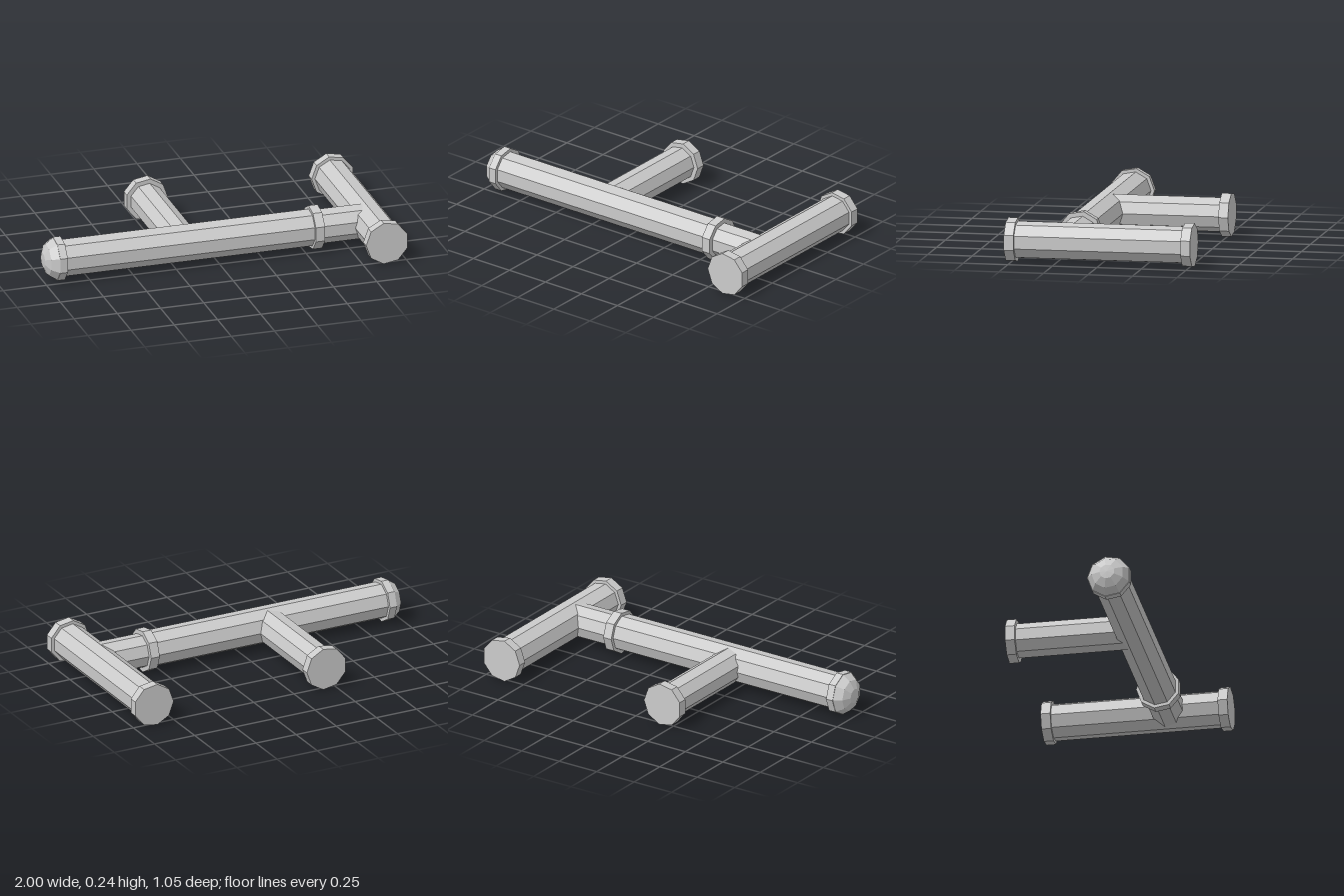
import * as THREE from 'three';

const SIDES = 9;
const Y = 0.126; // height of all pipe axes
const PIPE = 0.104, BRANCH = 0.097, COLLAR = 0.123; // radii

export function createModel() {
  const group = new THREE.Group();
  const material = new THREE.MeshStandardMaterial({ color: 0xcccccc, flatShading: true });

  function add(name, geometry, x, z) {
    const mesh = new THREE.Mesh(geometry, material);
    mesh.name = name;
    mesh.position.set(x, Y, z);
    group.add(mesh);
  }

  // Nine-sided pipe along x, one ridge facing the back
  function pipeX(name, radius, x0, x1, z) {
    const g = new THREE.CylinderGeometry(radius, radius, x1 - x0, SIDES, 1, false, Math.PI);
    g.rotateZ(-Math.PI / 2);
    add(name, g, (x0 + x1) / 2, z);
  }

  // Nine-sided pipe along z, one ridge facing +x (ridge = 1) or -x (ridge = -1)
  function pipeZ(name, radius, z0, z1, x, ridge) {
    const g = new THREE.CylinderGeometry(radius, radius, z1 - z0, SIDES, 1, false, ridge * Math.PI / 2);
    g.rotateX(Math.PI / 2);
    add(name, g, x, (z0 + z1) / 2);
  }

  // Main run with its collars and the narrower joint to the cross pipe
  const mainZ = 0.176;
  pipeX('mainPipe', PIPE, -0.92, 0.57, mainZ);
  pipeX('endCollar', COLLAR, -0.933, -0.89, mainZ);
  pipeX('jointCollar', COLLAR, 0.544, 0.597, mainZ);
  pipeX('jointPipe', BRANCH, 0.57, 0.885, mainZ);

  // Rounded cap closing the main run
  const profile = [[0, -1], [0.042, -0.998], [0.09, -0.976], [0.12, -0.933]];
  const dome = new THREE.LatheGeometry(
    profile.map(([r, y]) => new THREE.Vector2(r, y)), SIDES, Math.PI);
  dome.rotateZ(-Math.PI / 2);
  add('domeCap', dome, 0, mainZ);

  // Cross pipe, flanged at both ends
  const crossX = 0.884;
  pipeZ('crossPipe', PIPE, -0.5, 0.5, crossX, -1);
  pipeZ('crossFlangeFront', COLLAR, 0.469, 0.523, crossX, -1);
  pipeZ('crossFlangeBack', COLLAR, -0.523, -0.469, crossX, -1);

  // Side branch running to the back
  const branchX = -0.192;
  pipeZ('branchPipe', BRANCH, -0.5, 0.176, branchX, 1);
  pipeZ('branchFlange', COLLAR, -0.523, -0.469, branchX, 1);

  return group;
}
